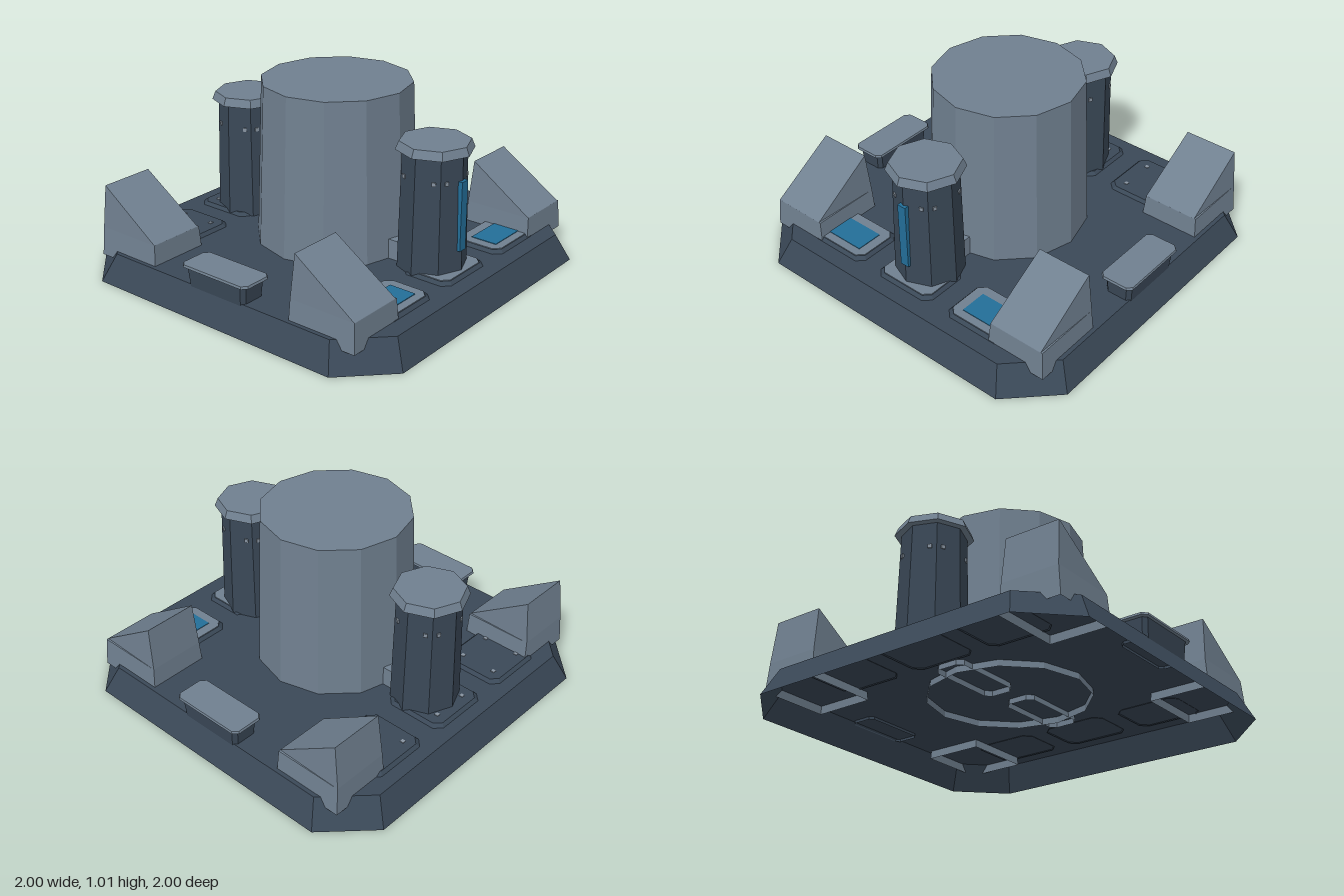
import * as THREE from 'three';

const mat = (name, color) => {
  const m = new THREE.MeshStandardMaterial({ color, side: THREE.DoubleSide, flatShading: true });
  m.name = name;
  return m;
};

// Rings of [x, y, z] points joined into an open-bottomed shell with a flat top
function shell(rings, capped = true) {
  const pos = [];
  const n = rings[0].length;
  const tri = (a, b, c) => pos.push(...a, ...b, ...c);
  for (let r = 0; r < rings.length - 1; r++) {
    const lo = rings[r], up = rings[r + 1];
    for (let i = 0; i < n; i++) {
      const j = (i + 1) % n;
      tri(lo[i], up[i], up[j]);
      tri(lo[i], up[j], lo[j]);
    }
  }
  const top = rings[rings.length - 1];
  if (capped) for (let i = 1; i < n - 1; i++) tri(top[0], top[i + 1], top[i]);
  const g = new THREE.BufferGeometry();
  g.setAttribute('position', new THREE.Float32BufferAttribute(pos, 3));
  g.computeVertexNormals();
  return g;
}

// Regular polygon ring with corners on the axes
function polygon(sides, radius, y) {
  return Array.from({ length: sides }, (_, i) => {
    const t = (i / sides) * Math.PI * 2;
    return [radius * Math.cos(t), y, radius * Math.sin(t)];
  });
}

// Rectangle ring with cut corners
function cutRect(cx, cz, hw, hd, c, y) {
  return [
    [hw, -hd + c], [hw, hd - c], [hw - c, hd], [-hw + c, hd],
    [-hw, hd - c], [-hw, -hd + c], [-hw + c, -hd], [hw - c, -hd],
  ].map(([x, z]) => [cx + x, y, cz + z]);
}

export function createModel() {
  const model = new THREE.Group();
  const light = mat('light grey', 0x708090);
  const dark = mat('dark slate', 0x3a4857);
  const blue = mat('blue glow', 0x236e98);
  const rivetGrey = mat('rivet grey', 0x8793a0);

  const add = (name, geo, material, parent = model) => {
    const m = new THREE.Mesh(geo, material);
    m.name = name;
    parent.add(m);
    return m;
  };
  const rivet = (x, y, z, parent, ry = 0) => {
    const m = add('rivet', new THREE.BoxGeometry(0.02, 0.02, 0.02), rivetGrey, parent);
    m.position.set(x, y, z);
    m.rotation.y = ry;
  };

  // Hollow sloping base
  add('base', shell([
    cutRect(0, 0, 1, 1, 0.24, 0),
    cutRect(0, 0, 0.93, 0.93, 0.22, 0.145),
  ]), dark);

  // Central drum, its rim reaching just below the deck
  add('centralDrum', shell([polygon(12, 0.432, 0.11), polygon(12, 0.397, 1.01)]), light);

  // Towers fore and aft, with a connector to the drum
  for (const s of [1, -1]) {
    const tower = new THREE.Group();
    tower.name = s > 0 ? 'frontTower' : 'backTower';
    tower.position.z = s * 0.62;
    model.add(tower);
    add('towerBody', shell([polygon(8, 0.18, 0.145), polygon(8, 0.165, 0.78)]), dark, tower);
    add('towerCap', shell([
      polygon(8, 0.165, 0.775), polygon(8, 0.2, 0.776), polygon(8, 0.182, 0.82),
    ]), light, tower);
    const strip = add('lightStrip', new THREE.BoxGeometry(0.05, 0.37, 0.03), blue, tower);
    strip.position.set(0, 0.46, 0.167);
    for (let k = 0; k < 4; k++) {
      const a = Math.PI / 8 + (k * Math.PI) / 2 + Math.PI / 16;
      for (const sign of [1, -1]) {
        for (const y of [0.28, 0.645]) {
          const r = 0.155;
          rivet(r * Math.sin(a * sign), y, r * Math.cos(a * sign), tower, (sign * Math.PI) / 8);
        }
      }
    }
    add('connector', shell([
      cutRect(0, s * 0.285, 0.085, 0.215, 0.03, 0.115),
      cutRect(0, s * 0.285, 0.08, 0.21, 0.03, 0.25),
    ]), light);
  }

  // Deck pads: light in front, dark behind
  for (const x of [-0.47, 0, 0.47]) {
    for (const front of [true, false]) {
      const z = front ? 0.695 : -0.683;
      const hd = front ? 0.147 : 0.178;
      add('padBase', shell([
        cutRect(x, z, 0.185, hd, 0.04, 0.14),
        cutRect(x, z, 0.165, hd - 0.02, 0.035, 0.163),
      ]), dark);
      if (front) {
        add('padTop', shell([
          cutRect(x, z, 0.163, hd - 0.022, 0.035, 0.162),
          cutRect(x, z, 0.163, hd - 0.022, 0.035, 0.167),
        ]), light);
        if (x) {
          const p = add('padLight', new THREE.BoxGeometry(0.22, 0.005, 0.15), blue);
          p.position.set(x, 0.168, z + 0.005);
        }
      } else {
        for (const dx of [-0.1, 0.1]) for (const dz of [-0.1, 0.1]) rivet(x + dx, 0.157, z + dz, model);
      }
    }
  }

  for (const s of [1, -1]) {
    // Wedge-shaped corner blocks, all sloping down to the front
    for (const z of [0.642, -0.642]) {
      const cx = s * 0.742;
      const ring = (hw, zf, zb, yf, yb) => [
        [cx + hw, yb, z + zb], [cx + hw, yf, z + zf], [cx - hw, yf, z + zf], [cx - hw, yb, z + zb],
      ];
      add('cornerWedge', shell([
        ring(0.169, 0.196, -0.198, 0.1, 0.1),
        ring(0.157, 0.188, -0.192, 0.255, 0.255),
        ring(0.148, 0.187, -0.168, 0.257, 0.49),
      ]), light);
    }

    // Side units with an overhanging lid
    add('sideUnitBody', shell([
      cutRect(s * 0.862, 0, 0.072, 0.185, 0.02, 0.13),
      cutRect(s * 0.862, 0, 0.08, 0.195, 0.02, 0.242),
    ]), dark);
    add('sideUnitLid', shell([
      cutRect(s * 0.862, 0, 0.08, 0.195, 0.02, 0.238),
      cutRect(s * 0.862, 0, 0.095, 0.217, 0.025, 0.24),
      cutRect(s * 0.862, 0, 0.092, 0.213, 0.025, 0.253),
    ]), light);
  }

  return model;
}
